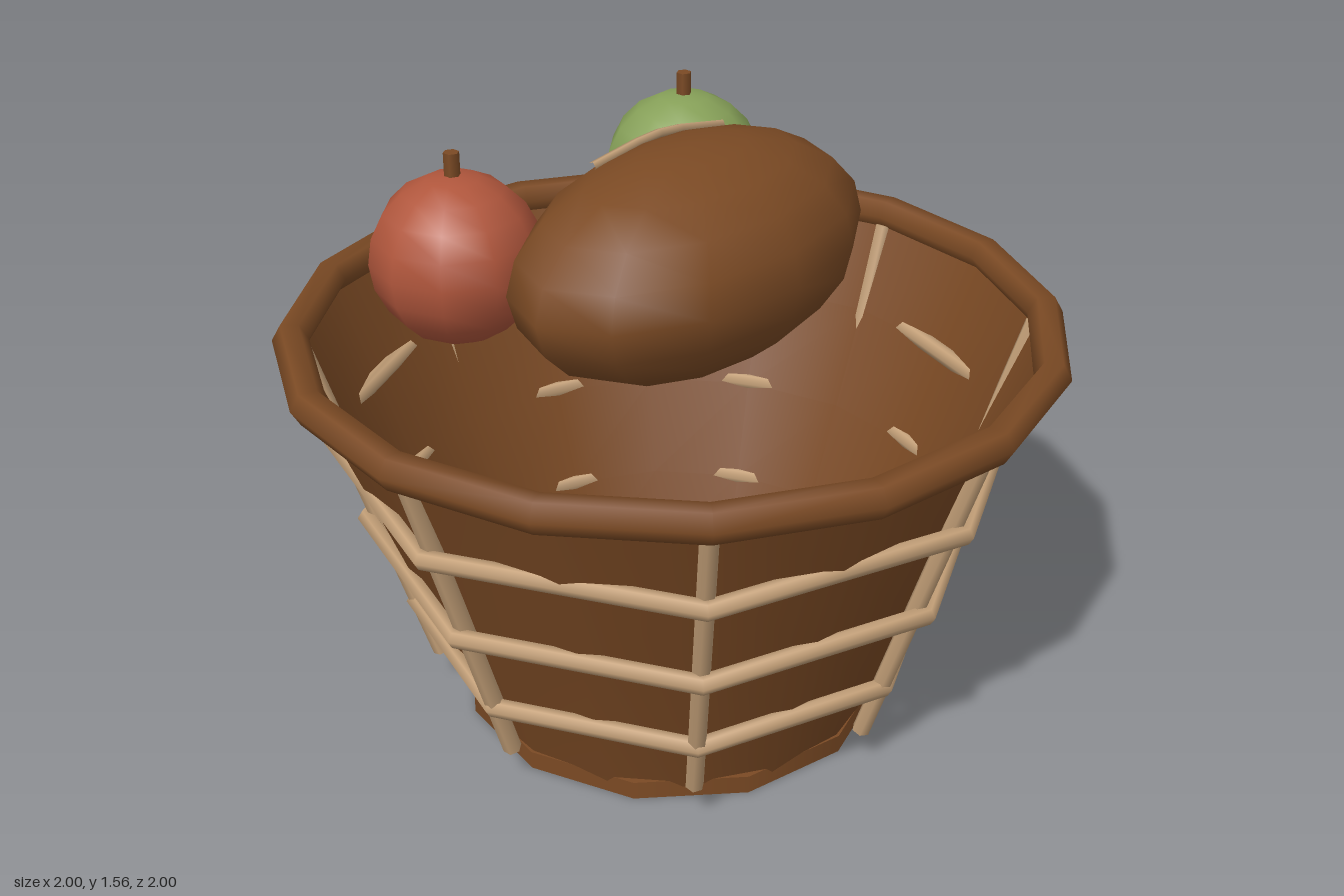
import * as THREE from 'three';

export function createModel() {
  const root = new THREE.Group();
  const material = (name, color, side = THREE.FrontSide) => {
    const m = new THREE.MeshStandardMaterial({ color, side });
    m.name = name;
    return m;
  };
  const brown = material('brown', 0x7b4a24, THREE.DoubleSide);
  const wicker = material('wicker', 0xc4a078);
  const red = material('red', 0xb0563c);
  const green = material('green', 0x86a058);

  const add = (name, geometry, mat, x = 0, y = 0, z = 0, parent = root) => {
    const mesh = new THREE.Mesh(geometry, mat);
    mesh.name = name;
    mesh.position.set(x, y, z);
    parent.add(mesh);
    return mesh;
  };

  // Basket shell: base disc, flared open wall and rolled rim
  add('basketBase', new THREE.CylinderGeometry(0.565, 0.565, 0.05, 12), brown, 0, 0.025, 0);
  const profile = [[0.55, 0.03], [0.632, 0.27], [0.733, 0.53], [0.836, 0.8], [0.935, 1.05]]
    .map(([r, y]) => new THREE.Vector2(r, y));
  add('basketWall', new THREE.LatheGeometry(profile, 16), brown);
  const rim = new THREE.TorusGeometry(0.954, 0.046, 6, 16);
  rim.rotateX(Math.PI / 2);
  add('basketRim', rim, brown, 0, 1.06, 0);

  // Eight leaning wicker uprights
  for (let i = 0; i < 8; i++) {
    const a = (i * Math.PI) / 4;
    const at = (r, y) => new THREE.Vector3(r * Math.sin(a), y, r * Math.cos(a));
    const path = new THREE.LineCurve3(at(0.632, 0.105), at(0.928, 1.03));
    const ends = new THREE.Group();
    ends.name = 'upright';
    root.add(ends);
    const length = path.getLength();
    const rod = add('uprightRod', new THREE.CylinderGeometry(0.024, 0.024, length, 6), wicker, 0, 0, 0, ends);
    rod.position.copy(path.getPoint(0.5));
    rod.quaternion.setFromUnitVectors(new THREE.Vector3(0, 1, 0), path.getTangent(0.5));
  }

  // Three eight-sided wicker hoops
  for (const [r, y] of [[0.693, 0.267], [0.803, 0.533], [0.89, 0.797]]) {
    const hoop = new THREE.TorusGeometry(r, 0.025, 6, 8);
    hoop.rotateX(Math.PI / 2);
    add('hoop', hoop, wicker, 0, y, 0);
  }

  // Oval loaf with a thin score line along the top
  const loaf = new THREE.SphereGeometry(1, 12, 10);
  loaf.scale(0.555, 0.28, 0.33);
  add('loaf', loaf, brown, 0, 1.28, 0.06);
  const score = new THREE.CatmullRomCurve3([
    new THREE.Vector3(-0.18, 1.515, -0.1),
    new THREE.Vector3(0.07, 1.53, -0.1),
    new THREE.Vector3(0.31, 1.485, -0.1),
  ]);
  add('loafScore', new THREE.TubeGeometry(score, 6, 0.012, 5), wicker);

  // Apples with short stems
  for (const [name, mat, x, z] of [['redApple', red, -0.4, -0.35], ['greenApple', green, 0.4, -0.3]]) {
    const apple = new THREE.Group();
    apple.name = name;
    apple.position.set(x, 1.285, z);
    root.add(apple);
    add('appleBody', new THREE.SphereGeometry(0.215, 10, 10), mat, 0, 0, 0, apple);
    add('appleStem', new THREE.CylinderGeometry(0.02, 0.02, 0.1, 6), brown, 0, 0.22, 0, apple);
  }
  return root;
}
